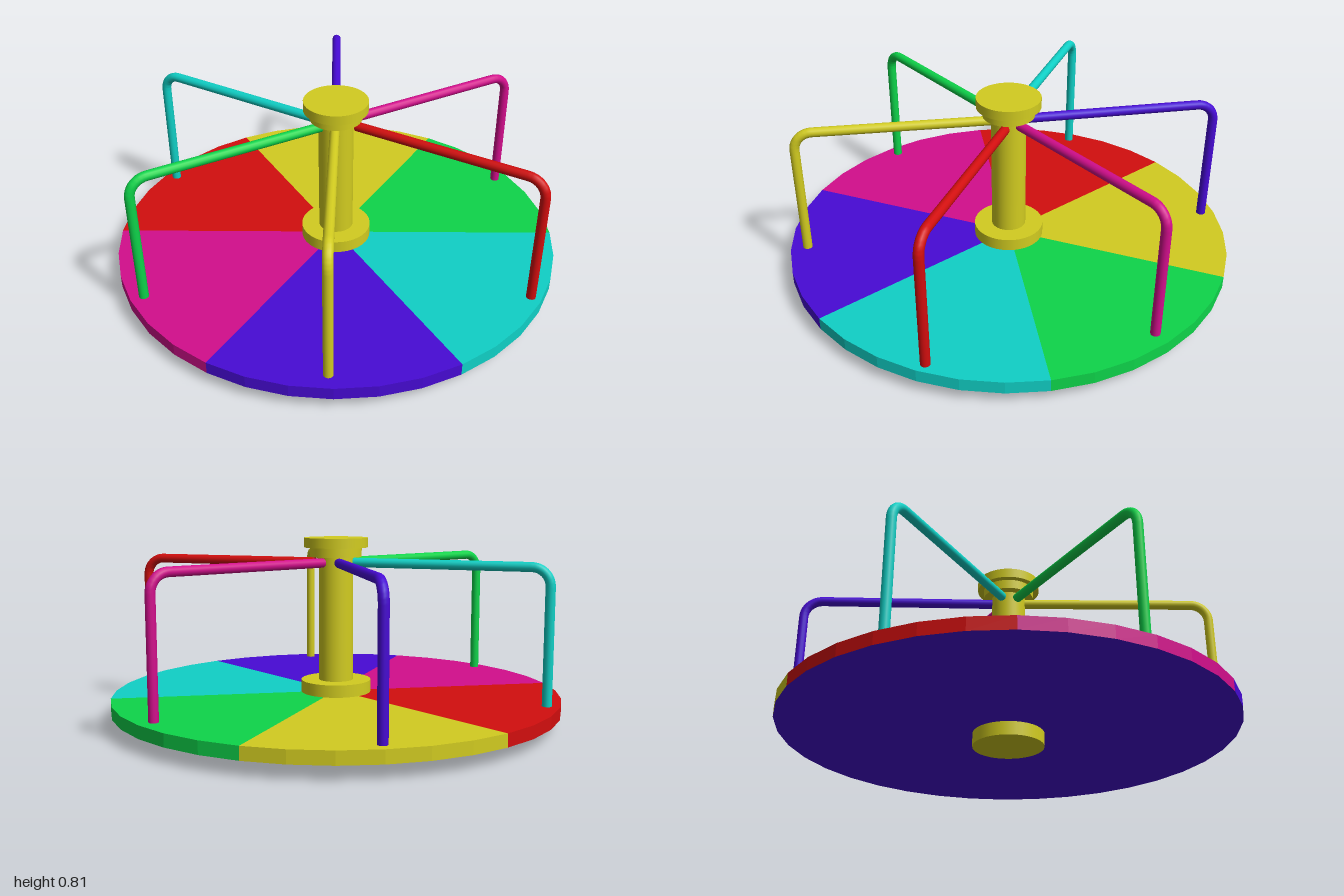
import * as THREE from 'three';

const RED = 0xd20e0e, YELLOW = 0xd2cc20, GREEN = 0x0ed44a;
const CYAN = 0x10d0c6, BLUE = 0x470ad4, MAGENTA = 0xd20e8c;
const DECK_BOTTOM = 0.06, DECK_TOP = 0.115;

function material(color, options = {}) {
  return new THREE.MeshStandardMaterial({ color, ...options });
}

function addMesh(parent, name, geometry, mat) {
  const mesh = new THREE.Mesh(geometry, mat);
  mesh.name = name;
  parent.add(mesh);
  return mesh;
}

// Round deck: six coloured wedges over a single-coloured underside
function createDeck() {
  const deck = new THREE.Group();
  deck.name = 'deck';
  const height = DECK_TOP - DECK_BOTTOM;
  const step = Math.PI / 3;
  [CYAN, GREEN, YELLOW, RED, MAGENTA, BLUE].forEach((color, i) => {
    const wedge = new THREE.Group();
    wedge.name = `deckWedge${i + 1}`;
    const mat = material(color, { flatShading: true });
    const rim = new THREE.CylinderGeometry(1, 1, height, 6, 1, true, i * step, step);
    rim.translate(0, (DECK_TOP + DECK_BOTTOM) / 2, 0);
    addMesh(wedge, 'wedgeRim', rim, mat);
    const top = new THREE.CircleGeometry(1, 6, i * step - Math.PI / 2, step);
    top.rotateX(-Math.PI / 2);
    top.translate(0, DECK_TOP, 0);
    addMesh(wedge, 'wedgeTop', top, mat);
    deck.add(wedge);
  });
  const underside = new THREE.CircleGeometry(1, 36);
  underside.rotateX(Math.PI / 2);
  underside.translate(0, DECK_BOTTOM, 0);
  addMesh(deck, 'deckUnderside', underside, material(BLUE));
  return deck;
}

// Central post with base, collar and cap
function createHub() {
  const hub = new THREE.Group();
  hub.name = 'hub';
  const mat = material(YELLOW);
  [
    ['hubBase', 0.157, 0, 0.17],
    ['post', 0.077, 0.16, 0.74],
    ['collar', 0.115, 0.725, 0.77],
    ['cap', 0.142, 0.767, 0.81],
  ].forEach(([name, radius, bottom, top]) => {
    const part = new THREE.CylinderGeometry(radius, radius, top - bottom, 36);
    part.translate(0, (top + bottom) / 2, 0);
    addMesh(hub, name, part, mat);
  });
  return hub;
}

// Handrail: runs out from the post, bends and drops to the deck
function railGeometry(startX, startZ, endX, endZ) {
  const y = 0.7, bend = 0.08;
  const start = new THREE.Vector3(startX, y, startZ);
  const corner = new THREE.Vector3(endX, y, endZ);
  const out = corner.clone().sub(start).normalize();
  const bendStart = corner.clone().addScaledVector(out, -bend);
  const at = (a) => bendStart.clone()
    .addScaledVector(out, bend * Math.sin(a))
    .add(new THREE.Vector3(0, -bend * (1 - Math.cos(a)), 0));
  const path = new THREE.CurvePath();
  path.add(new THREE.LineCurve3(start, bendStart));
  const steps = 8;
  for (let i = 0; i < steps; i++) {
    path.add(new THREE.LineCurve3(
      at((i / steps) * Math.PI / 2), at(((i + 1) / steps) * Math.PI / 2)));
  }
  path.add(new THREE.LineCurve3(at(Math.PI / 2), new THREE.Vector3(endX, DECK_TOP - 0.02, endZ)));
  return new THREE.TubeGeometry(path, 160, 0.021, 14, false);
}

export function createModel() {
  const model = new THREE.Group();
  model.name = 'merryGoRound';
  model.add(createDeck(), createHub());
  [
    [MAGENTA, 0.06, 0, 0.93, 0],
    [RED, 0.062, 0.07, 0.493, 0.815],
    [YELLOW, -0.037, 0.055, -0.48, 0.79],
    [GREEN, -0.06, 0, -0.94, 0],
    [CYAN, -0.05, -0.065, -0.476, -0.815],
    [BLUE, 0.037, -0.065, 0.465, -0.815],
  ].forEach(([color, ...ends], i) => {
    addMesh(model, `handrail${i + 1}`, railGeometry(...ends),
      material(color, { side: THREE.DoubleSide }));
  });
  return model;
}
